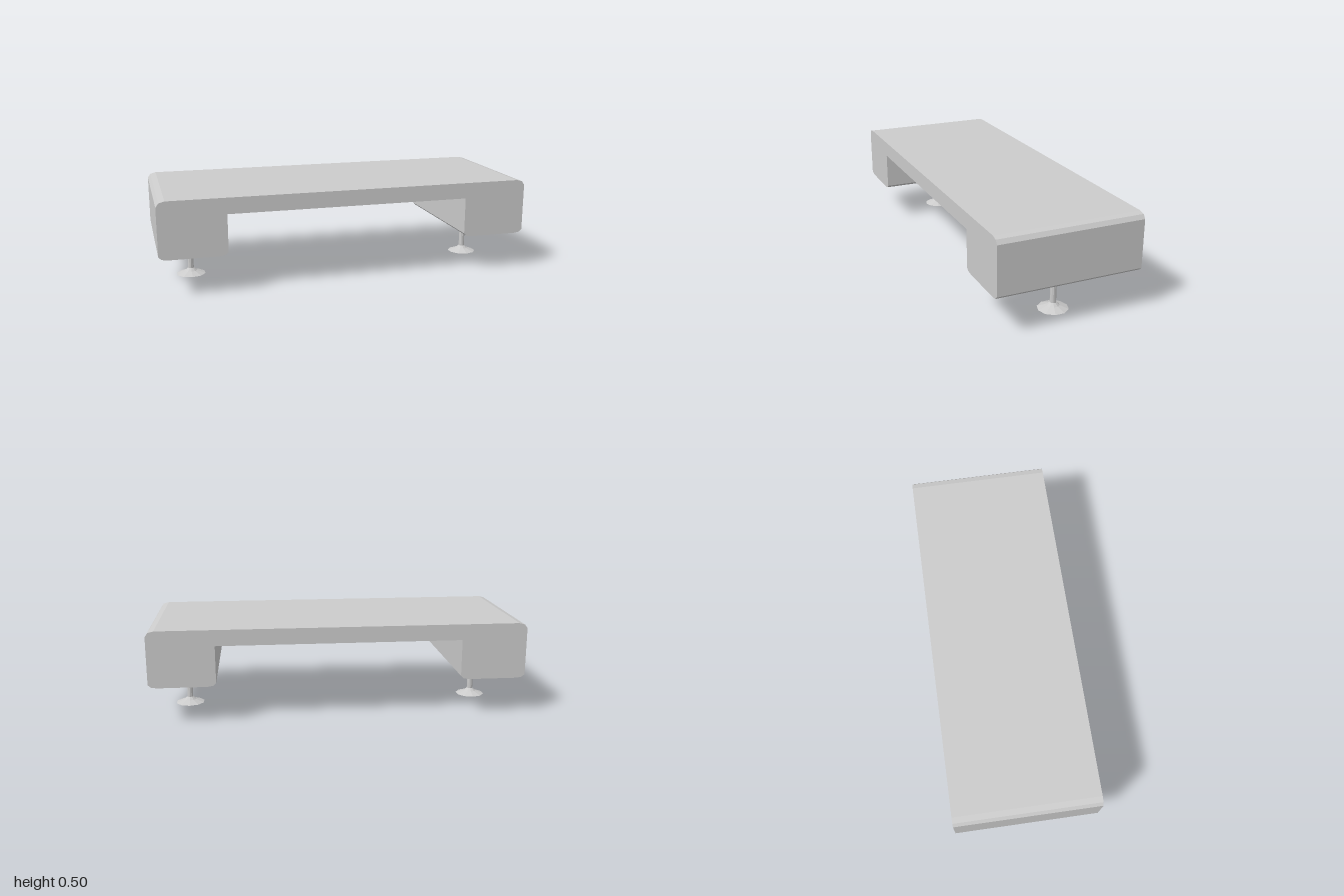
import * as THREE from 'three';

export function createModel() {
  const group = new THREE.Group();
  const material = new THREE.MeshStandardMaterial({ color: 0xcccccc, flatShading: true });

  // Bridge-shaped body: half of the outline, from the inner corner round to the top
  const half = [
    [0.65, 0.42], [0.65, 0.222], [0.665, 0.208], [0.695, 0.203],
    [0.955, 0.203], [0.985, 0.208], [1, 0.222],
    [1, 0.476], [0.985, 0.497], [0.955, 0.505],
  ].map(([x, y]) => new THREE.Vector2(x, y));
  const mirrored = half.map((p) => new THREE.Vector2(-p.x, p.y)).reverse();
  const depth = 0.768;
  const bodyGeometry = new THREE.ExtrudeGeometry(new THREE.Shape([...half, ...mirrored]), {
    depth, bevelEnabled: false,
  });
  bodyGeometry.translate(0, 0, -depth / 2);
  const body = new THREE.Mesh(bodyGeometry, material);
  body.name = 'body';
  group.add(body);

  // Faceted pedestal legs: flared foot and thin stem
  const legProfile = [
    [0, 0], [0.08, 0.001], [0.034, 0.018], [0.016, 0.033], [0.016, 0.204],
  ].map(([r, y]) => new THREE.Vector2(r, y));
  const legGeometry = new THREE.LatheGeometry(legProfile, 10);
  for (const [name, x] of [['rightLeg', -0.81], ['leftLeg', 0.82]]) {
    const leg = new THREE.Mesh(legGeometry, material);
    leg.name = name;
    leg.position.set(x, 0, -0.003);
    group.add(leg);
  }
  return group;
}
